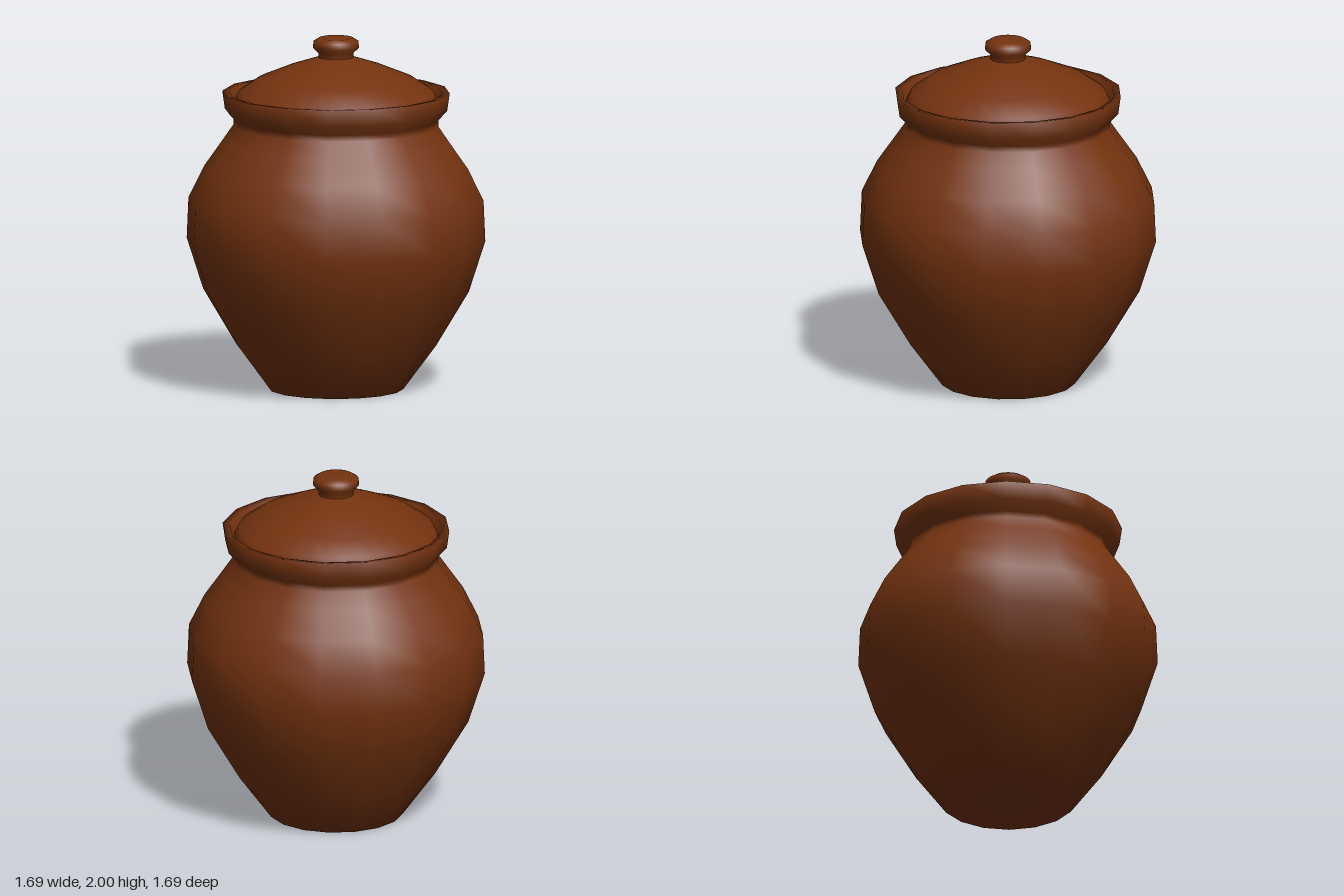
import * as THREE from 'three';

const clay = new THREE.MeshStandardMaterial({ color: 0x74330f });
clay.name = 'brown clay';

// Turn a profile of [radius, height] points, listed from the bottom outwards and up
function turned(name, profile, sides) {
  const points = profile.map(([r, y]) => new THREE.Vector2(r, y));
  const mesh = new THREE.Mesh(new THREE.LatheGeometry(points, sides), clay);
  mesh.name = name;
  return mesh;
}

export function createModel() {
  const jar = new THREE.Group();
  jar.name = 'liddedJar';

  // Body: foot, belly, neck, flared rim and the inside of the mouth
  jar.add(turned('body', [
    [0, 0], [0.38, 0], [0.565, 0.25], [0.75, 0.56], [0.843, 0.85],
    [0.833, 1.08], [0.745, 1.26], [0.64, 1.41], [0.578, 1.5], [0.578, 1.535],
    [0.628, 1.59], [0.642, 1.69], [0.602, 1.685], [0.585, 1.6], [0.55, 1.53],
  ], 16));

  // Domed lid resting inside the rim
  jar.add(turned('lid', [
    [0.575, 1.6], [0.575, 1.64], [0.55, 1.69], [0.44, 1.765],
    [0.27, 1.835], [0.1, 1.89], [0, 1.9],
  ], 32));

  // Knob on a short neck
  jar.add(turned('knob', [
    [0.1, 1.88], [0.1, 1.915], [0.13, 1.945], [0.127, 1.98], [0.095, 2], [0, 2],
  ], 32));

  return jar;
}
